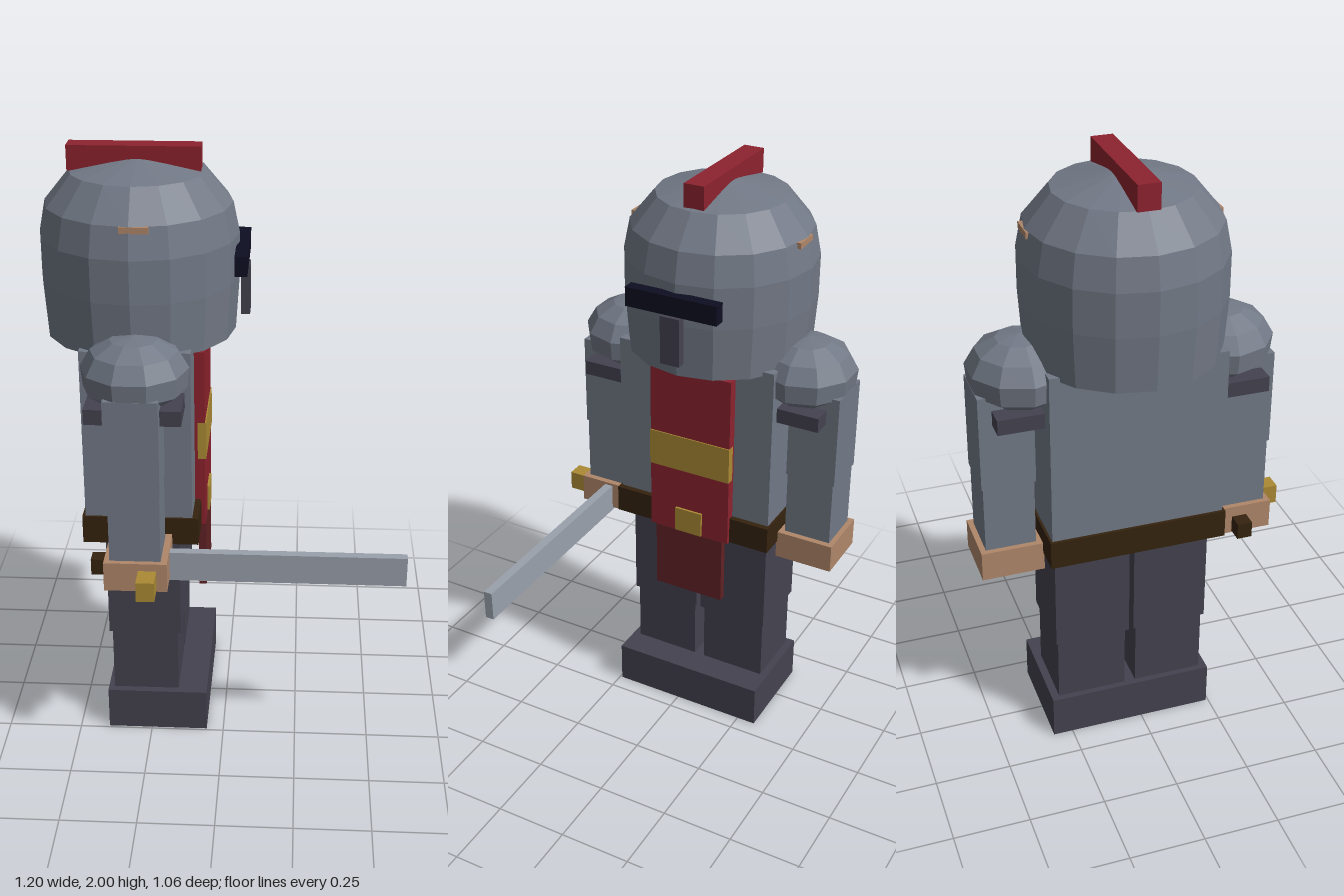
import * as THREE from 'three';

const mat = (name, color) => {
  const m = new THREE.MeshStandardMaterial({ color });
  m.name = name;
  return m;
};

export function createModel() {
  const steel = mat('steel', 0x727986);
  const blade = mat('bladeSteel', 0x9aa1ac);
  const dark = mat('darkCloth', 0x44424f);
  const visor = mat('visorBlack', 0x0e0e22);
  const red = mat('red', 0x8c222e);
  const maroon = mat('maroon', 0x622225);
  const gold = mat('gold', 0xab8a34);
  const skin = mat('skin', 0xb0876a);
  const leather = mat('leather', 0x35230f);
  const helmetSteel = mat('helmetSteel', 0x727986);
  helmetSteel.side = THREE.DoubleSide; // open at the neck

  // The figure looks along +x; body is built around its own centre line
  const knight = new THREE.Group();
  knight.name = 'knight';
  const CX = -0.28, CZ = -0.037;

  const add = (name, geo, material, x = 0, y = 0, z = 0) => {
    const mesh = new THREE.Mesh(geo, material);
    mesh.name = name;
    mesh.position.set(x, y, z);
    knight.add(mesh);
    return mesh;
  };
  // Box from its min and max on each axis
  const box = (name, material, x0, x1, y0, y1, z0, z1) =>
    add(name, new THREE.BoxGeometry(x1 - x0, y1 - y0, z1 - z0), material,
      (x0 + x1) / 2, (y0 + y1) / 2, (z0 + z1) / 2);
  // Box centred on the body's middle plane
  const mid = (name, material, x0, x1, y0, y1, halfZ) =>
    box(name, material, x0, x1, y0, y1, CZ - halfZ, CZ + halfZ);
  // Faceted solid of revolution, profile from bottom to top
  const turned = (profile, sides) => {
    const pts = profile.map(([r, y]) => new THREE.Vector2(r, y));
    const geo = new THREE.LatheGeometry(pts, sides, Math.PI / 2).toNonIndexed();
    geo.computeVertexNormals();
    return geo;
  };

  // Head and helmet
  add('head', new THREE.CylinderGeometry(0.28, 0.29, 0.36, 16), skin, CX, 1.59, CZ);
  mid('temples', skin, -0.31, -0.22, 1.8, 1.82, 0.303);
  add('helmet', turned([[0.308, 1.4], [0.32, 1.58], [0.32, 1.72], [0.3, 1.82],
    [0.218, 1.92], [0, 1.967]], 16), helmetSteel, CX, 0, CZ);
  mid('crest', red, -0.5, -0.08, 1.92, 2, 0.035);
  mid('visorSlit', visor, 0.03, 0.07, 1.625, 1.69, 0.161);
  mid('noseGuard', dark, 0.045, 0.075, 1.457, 1.62, 0.034);

  // Torso, belt and tabard
  mid('torso', steel, -0.45, -0.1, 0.8, 1.415, 0.284);
  mid('belt', leather, -0.46, -0.08, 0.745, 0.84, 0.292);
  mid('tabard', red, -0.1, -0.066, 0.745, 1.367, 0.149);
  mid('tabardBand', gold, -0.09, -0.062, 0.99, 1.12, 0.15);
  mid('tabardSkirt', maroon, -0.09, -0.065, 0.5, 0.745, 0.128);
  mid('buckle', gold, -0.07, -0.058, 0.748, 0.838, 0.05);

  // Boots
  mid('boots', dark, -0.4, -0.058, 0, 0.15, 0.279);

  const pauldron = turned([[0, 1.275], [0.115, 1.285], [0.163, 1.32], [0.17, 1.385],
    [0.138, 1.44], [0.075, 1.475], [0, 1.487]], 10);

  for (const s of [1, -1]) {
    const side = s > 0 ? 'left' : 'right';
    // Box between two distances from the middle plane, on this side
    const limb = (name, m, x0, x1, y0, y1, a, b) =>
      box(side + name, m, x0, x1, y0, y1,
        CZ + Math.min(s * a, s * b), CZ + Math.max(s * a, s * b));
    // Legs
    limb('LowerLeg', dark, -0.38, -0.157, 0.15, 0.38, 0.019, 0.253);
    limb('UpperLeg', dark, -0.39, -0.145, 0.38, 0.78, 0.008, 0.261);
    // Arms
    limb('UpperArm', steel, -0.355, -0.185, 1.01, 1.33, 0.305, 0.479);
    limb('Forearm', steel, -0.35, -0.187, 0.78, 1.01, 0.31, 0.474);
    limb('Hand', skin, -0.368, -0.166, 0.683, 0.782, 0.288, 0.492);
    // Shoulders
    limb('ShoulderStrap', dark, -0.42, -0.119, 1.235, 1.285, 0.29, 0.436);
    add(side + 'Pauldron', pauldron, steel, -0.27, 0, CZ + s * 0.322);
  }

  // Sword in the left hand
  box('swordGrip', leather, -0.42, -0.26, 0.69, 0.745, 0.32, 0.37);
  box('swordGuard', gold, -0.258, -0.2, 0.69, 0.757, 0.226, 0.53);
  box('swordBlade', blade, -0.2, 0.597, 0.672, 0.773, 0.332, 0.362);

  return knight;
}
